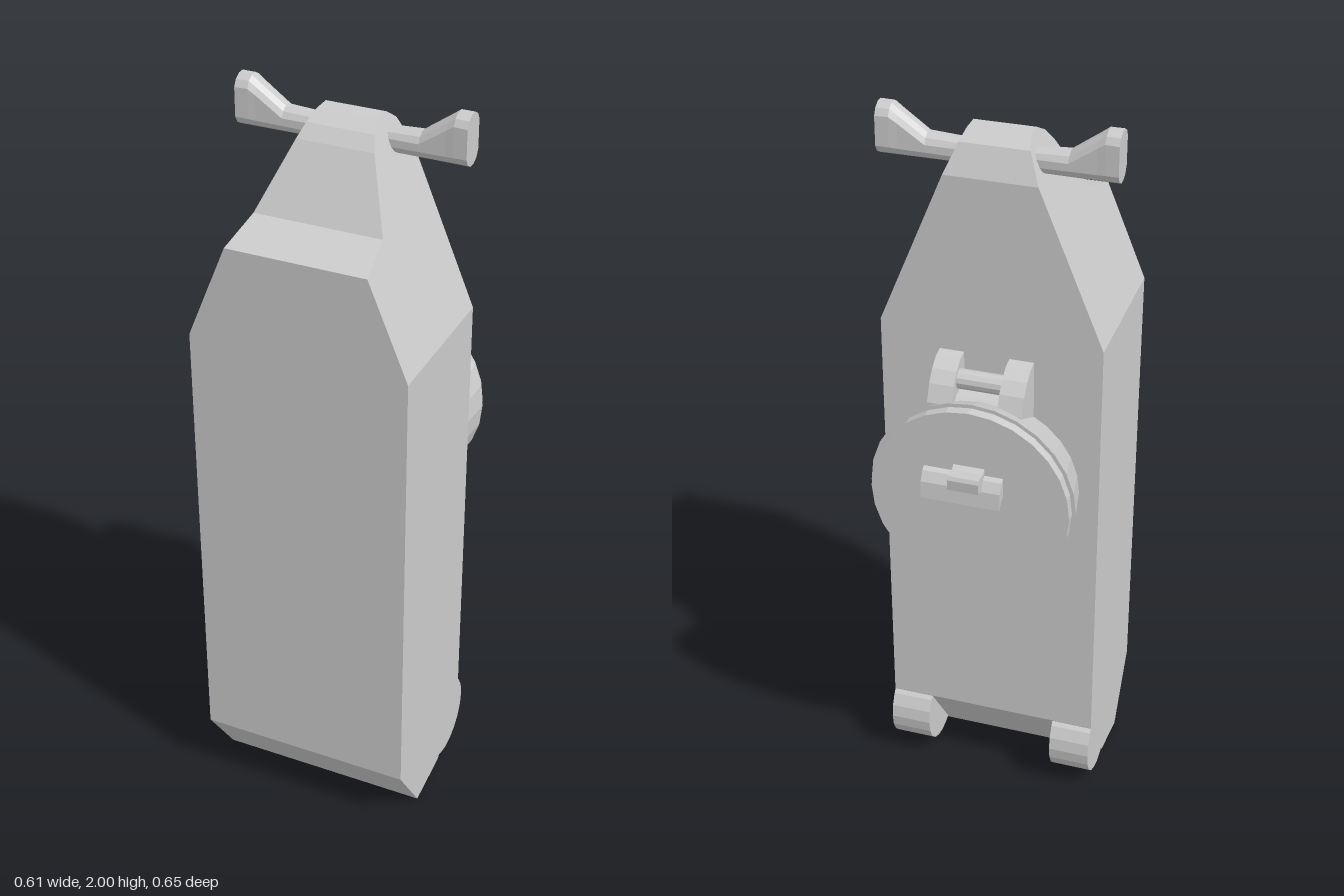
import * as THREE from 'three';

const material = new THREE.MeshStandardMaterial({ color: 0xcccccc, flatShading: true, side: THREE.DoubleSide });

function mesh(name, geometry) {
  const m = new THREE.Mesh(geometry, material);
  m.name = name;
  return m;
}

// Move every vertex of a geometry by a rule
function reshape(geometry, rule) {
  const pos = geometry.attributes.position;
  const v = new THREE.Vector3();
  for (let i = 0; i < pos.count; i++) {
    rule(v.fromBufferAttribute(pos, i));
    pos.setXYZ(i, v.x, v.y, v.z);
  }
  geometry.computeVertexNormals();
  return geometry;
}

const shapeOf = (points) => new THREE.Shape(points.map(([a, b]) => new THREE.Vector2(a, b)));

// Extrude a side profile of [z, y] points across x, from x0 to x1
function sideExtrude(points, x0, x1) {
  const g = new THREE.ExtrudeGeometry(shapeOf(points), { depth: x1 - x0, bevelEnabled: false });
  return g.rotateY(-Math.PI / 2).translate(x1, 0, 0);
}

// Disc or cone facing the back, from z0 (radius r0) to z1 (radius r1)
function backDisc(r0, r1, z0, z1, y) {
  return new THREE.CylinderGeometry(r1, r0, z0 - z1, 28)
    .rotateX(-Math.PI / 2).translate(0, y, (z0 + z1) / 2);
}

export function createModel() {
  const group = new THREE.Group();
  const half = 0.293, shoulder = 1.44, back = -0.09;

  // Straight lower body with chamfered foot
  group.add(mesh('lowerBody', sideExtrude([
    [0.325, 0.18], [0.325, shoulder], [back, shoulder], [back, 0.22], [0.05, 0.025], [0.2, 0],
  ], -half, half)));

  // Upper body, its sides leaning in towards the rounded top
  const upper = sideExtrude([
    [0.325, shoulder], [0.325, 1.7], [0.2, 1.74], [0.1, 1.905], [0.07, 1.938], [0.03, 1.96],
    [-0.02, 1.96], [-0.055, 1.935], [back, 1.86], [back, shoulder],
  ], -half, half);
  group.add(mesh('upperBody', reshape(upper, (v) => {
    v.x *= (half - (v.y - shoulder) * 0.41) / half;
  })));

  // Rounded lugs at the bottom rear corners
  for (const s of [-1, 1]) {
    const lug = mesh('footLug', new THREE.CylinderGeometry(0.115, 0.115, 0.113, 20).rotateZ(Math.PI / 2));
    lug.position.set(s * (half - 0.0565), 0.14, -0.005);
    group.add(lug);
  }

  // Crossbar with flared ends: [x, top height, half depth] per section
  const halfBar = [[0.09, 1.93, 0.03], [0.18, 1.935, 0.034], [0.25, 1.985, 0.036], [0.27, 2, 0.038], [0.305, 2, 0.039]];
  const sections = [...halfBar.map(([x, t, d]) => [-x, t, d]).reverse(), ...halfBar];
  const n = sections.length - 1;
  const bar = new THREE.CylinderGeometry(1, 1, n, 12, n, false, Math.PI / 12).rotateZ(Math.PI / 2);
  group.add(mesh('crossbar', reshape(bar, (v) => {
    const [x, top, d] = sections[Math.round(v.x + n / 2)];
    const mid = (top + 1.865) / 2;
    const straight = Math.abs(v.y) < 1e-6 ? 0 : Math.sign(v.y) * (mid - 1.865 - d);
    v.set(x, mid + straight + v.y * d, -0.013 + v.z * d);
  })));

  // Round housing, leaning up and widening away from the body
  const port = new THREE.Group();
  port.name = 'port';
  group.add(port);
  port.add(mesh('portHousing', reshape(backDisc(0.24, 0.274, back, -0.245, 1.052), (v) => {
    if (v.z > -0.1) v.y -= 0.04;
  })));
  port.add(mesh('portLid', backDisc(0.264, 0.264, -0.24, -0.272, 1.052)));

  // Tapered skirt under the housing
  const halfSkirt = [[0.235, 1.03], [0.215, 0.93], [0.155, 0.7], [0.145, 0.675], [0.115, 0.66]];
  const skirt = new THREE.ExtrudeGeometry(
    shapeOf([...halfSkirt, ...halfSkirt.map(([x, y]) => [-x, y]).reverse()]),
    { depth: 0.095, bevelEnabled: false }).translate(0, 0, -0.185);
  port.add(mesh('portSkirt', reshape(skirt, (v) => {
    if (v.z < -0.15) { v.x *= 1.07; v.y -= (1.03 - v.y) * 0.04; }
  })));

  // Hinge lugs with a rod and a low block between them
  const lugProfile = [[back, 1.22], [back, 1.38], [-0.12, 1.375], [-0.15, 1.355], [-0.175, 1.325], [-0.195, 1.28], [-0.195, 1.22]];
  for (const x of [-0.115, 0.07]) {
    port.add(mesh('hingeLug', sideExtrude(lugProfile, x, x + 0.065)));
  }
  const rod = mesh('hingeRod', new THREE.CylinderGeometry(0.026, 0.026, 0.15, 12).rotateZ(Math.PI / 2));
  rod.position.set(0.01, 1.325, -0.13);
  port.add(rod);
  port.add(mesh('hingeBlock', sideExtrude(
    [[back, 1.22], [back, 1.3], [-0.155, 1.29], [-0.18, 1.27], [-0.18, 1.22]], -0.06, 0.08)));

  // Latch on the lid
  port.add(mesh('latchBar', sideExtrude(
    [[-0.265, 1.145], [-0.285, 1.135], [-0.3, 1.11], [-0.305, 1.065], [-0.285, 1.085], [-0.265, 1.095]], -0.091, 0.119)));
  port.add(mesh('latchTab', sideExtrude(
    [[-0.265, 1.165], [-0.285, 1.152], [-0.32, 1.155], [-0.325, 1.145], [-0.322, 1.115], [-0.3, 1.11], [-0.265, 1.11]], -0.042, 0.04)));

  return group;
}
